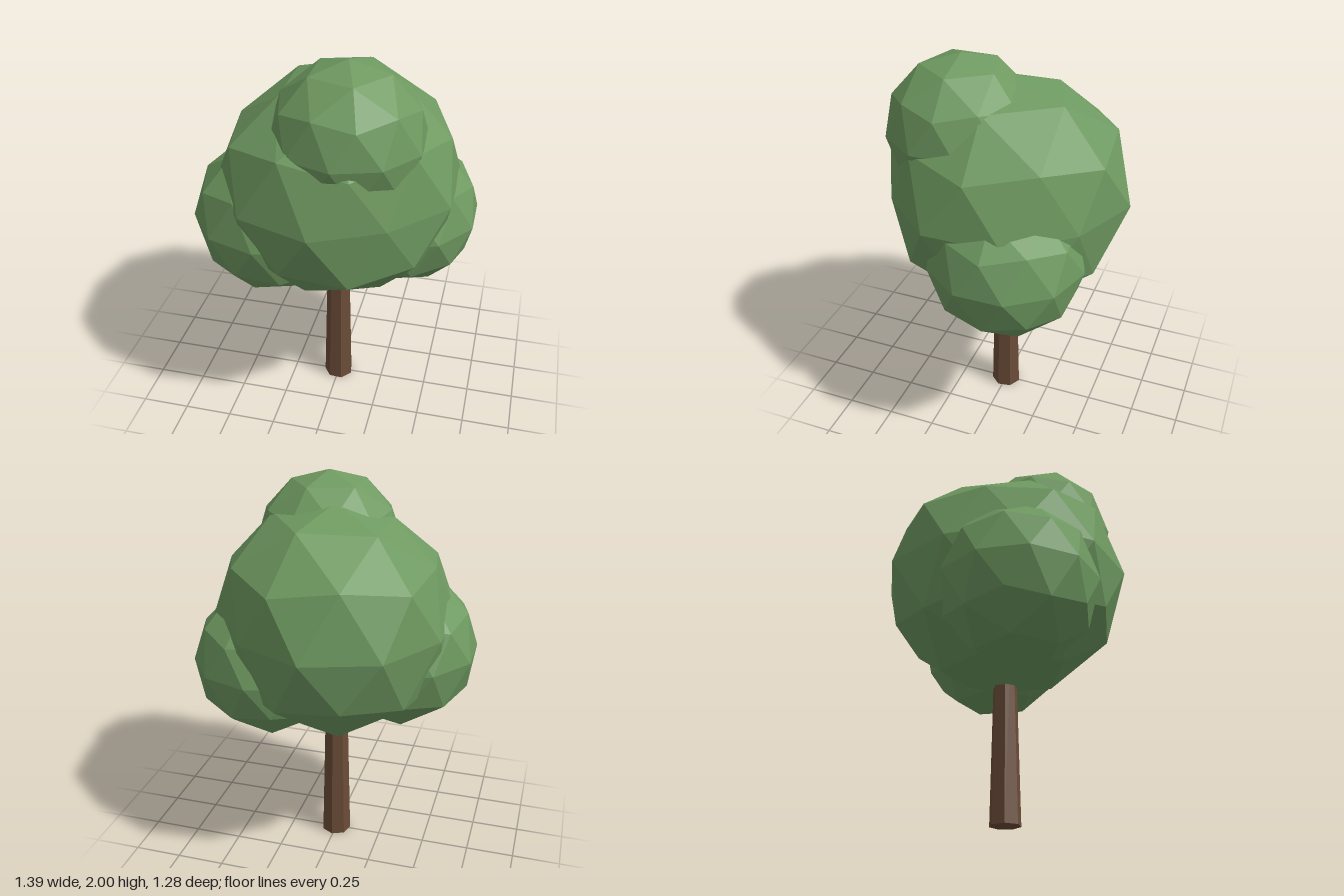
import * as THREE from 'three';

// Moves the ball corners that lie in the given directions in or out by a factor
function nudge(geometry, nudges) {
  const position = geometry.attributes.position;
  const corner = new THREE.Vector3();
  const target = new THREE.Vector3();
  for (let i = 0; i < position.count; i++) {
    corner.fromBufferAttribute(position, i);
    for (const [direction, factor] of nudges) {
      if (corner.distanceTo(target.set(...direction)) > 0.1) continue;
      corner.multiplyScalar(factor);
      position.setXYZ(i, corner.x, corner.y, corner.z);
      break;
    }
  }
  geometry.computeVertexNormals();
  return geometry;
}

export function createModel() {
  const leafGreen = new THREE.MeshStandardMaterial({ color: 0x6f9a61, flatShading: true });
  leafGreen.name = 'leafGreen';
  const barkBrown = new THREE.MeshStandardMaterial({ color: 0x6b4c38, flatShading: true });
  barkBrown.name = 'barkBrown';

  const tree = new THREE.Group();
  tree.name = 'tree';

  // Trunk: tapered seven-sided column running up into the crown
  const trunkGeometry = new THREE.CylinderGeometry(0.05, 0.079, 1.2, 7);
  trunkGeometry.rotateY(-Math.PI / 2 + 0.17);
  trunkGeometry.translate(0, 0.6, 0);
  const trunk = new THREE.Mesh(trunkGeometry, barkBrown);
  trunk.name = 'trunk';
  tree.add(trunk);

  // Faceted foliage ball, turned so that a corner points straight up
  const ball = new THREE.IcosahedronGeometry(1, 1);
  ball.rotateZ(-Math.atan(2 / (1 + Math.sqrt(5))));

  // The main ball is slightly uneven
  const unevenBall = nudge(ball.clone(), [
    [[0, 1, 0], 0.97],
    [[0, -1, 0], 1.02],
    [[0.588, 0, 0.809], 0.92],
    [[0.588, 0, -0.809], 0.94],
    [[-0.951, 0, -0.309], 0.965],
    [[-0.851, 0.526, 0], 0.945],
    [[-0.425, 0.851, 0.309], 0.94],
    [[-0.425, 0.851, -0.309], 0.95],
  ]);

  // Crown: name, shape, centre, radii
  const clumps = [
    ['mainFoliage', unevenBall, [0, 1.3, 0], [0.622, 0.605, 0.64]],
    ['topFoliage', ball, [0.09, 1.62, 0.19], [0.38, 0.38, 0.375]],
    ['rightFoliage', ball, [-0.3, 1.12, 0.125], [0.415, 0.415, 0.41]],
    ['leftFoliage', ball, [0.315, 1.08, -0.12], [0.395, 0.39, 0.395]],
  ];
  const crown = new THREE.Group();
  crown.name = 'crown';
  for (const [name, geometry, centre, radii] of clumps) {
    const clump = new THREE.Mesh(geometry, leafGreen);
    clump.name = name;
    clump.position.set(...centre);
    clump.scale.set(...radii);
    crown.add(clump);
  }
  tree.add(crown);

  return tree;
}
